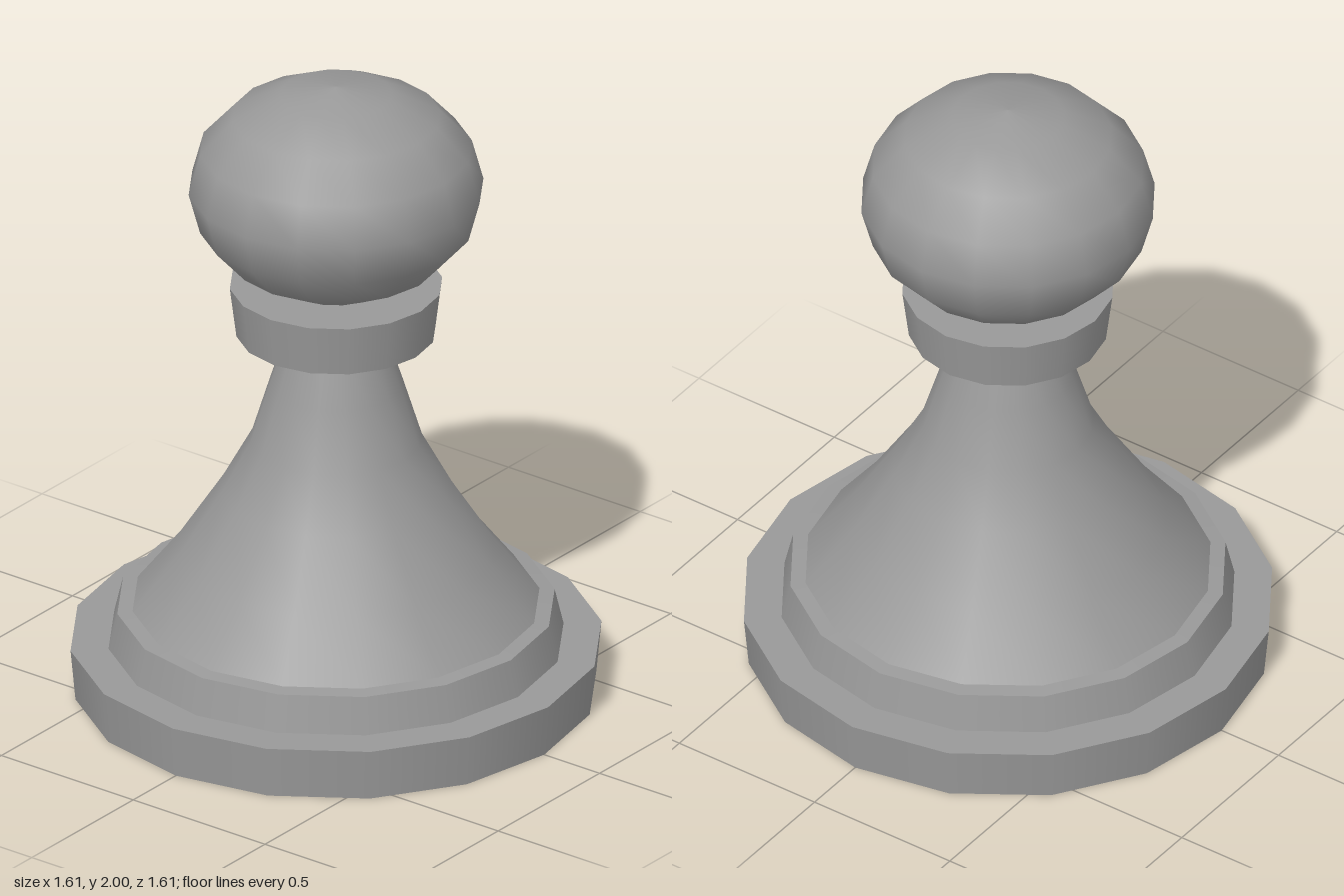
import * as THREE from 'three';

const SIDES = 16;

export function createModel() {
  const model = new THREE.Group();
  const material = new THREE.MeshStandardMaterial({ color: 0x999999 });

  const add = (name, geometry, y = 0) => {
    const mesh = new THREE.Mesh(geometry, material);
    mesh.name = name;
    mesh.position.y = y;
    model.add(mesh);
  };

  // Capped, slightly tapered disc from y0 to y1
  const disc = (name, bottomRadius, topRadius, y0, y1) =>
    add(name, new THREE.CylinderGeometry(topRadius, bottomRadius, y1 - y0, SIDES), (y0 + y1) / 2);

  // Smooth turned part from [radius, height] pairs, bottom to top
  const turned = (name, profile) =>
    add(name, new THREE.LatheGeometry(profile.map(([r, y]) => new THREE.Vector2(r, y)), SIDES));

  // Two-step foot with a slightly sloped ledge
  disc('base', 0.79, 0.805, 0, 0.163);
  disc('baseStep', 0.69, 0.663, 0.163, 0.278);
  disc('ledge', 0.663, 0.617, 0.278, 0.284);

  // Flared body, narrowing to the neck
  turned('body', [
    [0.617, 0.284], [0.483, 0.455], [0.35, 0.66],
    [0.26, 0.825], [0.203, 1.01], [0.146, 1.185],
  ]);

  // Collar under the head
  disc('collar', 0.302, 0.322, 1.183, 1.343);

  // Flattened ball head, its underside running down into the collar
  turned('head', [
    [0.14, 1.335], [0.315, 1.427], [0.412, 1.535], [0.447, 1.665],
    [0.412, 1.795], [0.315, 1.902], [0.17, 1.975], [0, 2],
  ]);

  return model;
}
